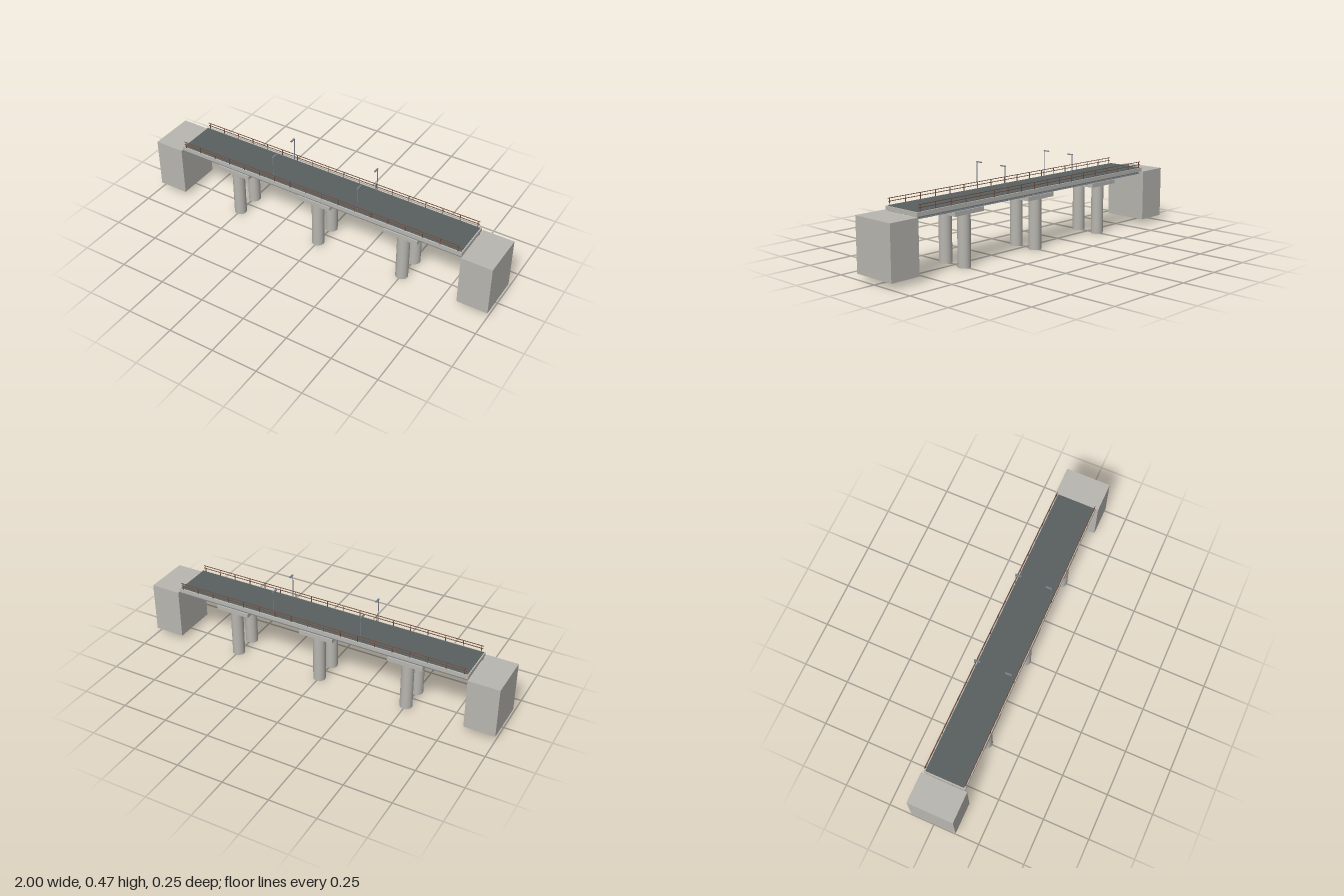
import * as THREE from 'three';

const mat = (name, color) => {
  const m = new THREE.MeshStandardMaterial({ color });
  m.name = name;
  return m;
};

export function createModel() {
  const concrete = mat('concrete', 0xb8b6b0);
  const asphalt = mat('asphalt', 0x5a5f60);
  const steel = mat('steel', 0x77808a);
  const railBrown = mat('railing brown', 0x6e4f40);

  const bridge = new THREE.Group();
  bridge.name = 'bridge';

  const add = (name, geometry, material, x, y, z, parent = bridge) => {
    const mesh = new THREE.Mesh(geometry, material);
    mesh.name = name;
    mesh.position.set(x, y, z);
    parent.add(mesh);
    return mesh;
  };
  // box given by its centre in x and z and its bottom and top heights
  const box = (name, material, x, z, w, d, y0, y1, parent) =>
    add(name, new THREE.BoxGeometry(w, y1 - y0, d), material, x, (y0 + y1) / 2, z, parent);

  // end abutments
  for (const s of [-1, 1]) box('abutment', concrete, s * 0.917, 0, 0.166, 0.248, 0.03, 0.307);

  // deck slab and road surface
  box('deckSlab', concrete, 0, 0, 1.664, 0.224, 0.307, 0.328);
  box('roadSurface', asphalt, 0, 0, 1.65, 0.208, 0.328, 0.3305);

  // longitudinal I-girders and cross beams under the slab
  for (const s of [-1, 1]) {
    const girder = new THREE.Group();
    girder.name = 'girder';
    bridge.add(girder);
    box('girderTopFlange', steel, 0, s * 0.092, 1.66, 0.02, 0.304, 0.307, girder);
    box('girderWeb', steel, 0, s * 0.092, 1.66, 0.006, 0.296, 0.304, girder);
    box('girderBottomFlange', steel, 0, s * 0.092, 1.66, 0.02, 0.293, 0.296, girder);
  }
  for (let i = 0; i < 11; i++) {
    box('crossBeam', steel, -0.8 + i * 0.16, 0, 0.008, 0.18, 0.297, 0.307);
  }

  // piers: a cap on two round columns
  const columnGeometry = new THREE.CylinderGeometry(0.033, 0.033, 0.27, 24);
  for (const x of [-0.5, 0, 0.5]) {
    const pier = new THREE.Group();
    pier.name = 'pier';
    bridge.add(pier);
    box('pierCap', concrete, x, 0, 0.19, 0.22, 0.27, 0.293, pier);
    for (const s of [-1, 1]) add('pierColumn', columnGeometry, concrete, x, 0.135, s * 0.067, pier);
  }

  for (const s of [-1, 1]) {
    // railing with two rails and evenly spaced posts
    const railing = new THREE.Group();
    railing.name = 'railing';
    bridge.add(railing);
    const z = s * 0.108;
    for (const y of [0.347, 0.362]) box('rail', railBrown, 0, z, 1.64, 0.003, y - 0.0015, y + 0.0015, railing);
    for (let i = 0; i < 18; i++) {
      box('railingPost', railBrown, -0.81 + (i * 1.62) / 17, z, 0.003, 0.003, 0.328, 0.363, railing);
    }
    // street lamps reaching in over the road
    for (const x of [-0.25, 0.25]) {
      const lamp = new THREE.Group();
      lamp.name = 'streetLamp';
      bridge.add(lamp);
      add('lampPole', new THREE.CylinderGeometry(0.0025, 0.0025, 0.138, 8), steel, x, 0.399, s * 0.099, lamp);
      box('lampHead', steel, x, s * 0.084, 0.009, 0.034, 0.4655, 0.47, lamp);
    }
  }
  return bridge;
}
